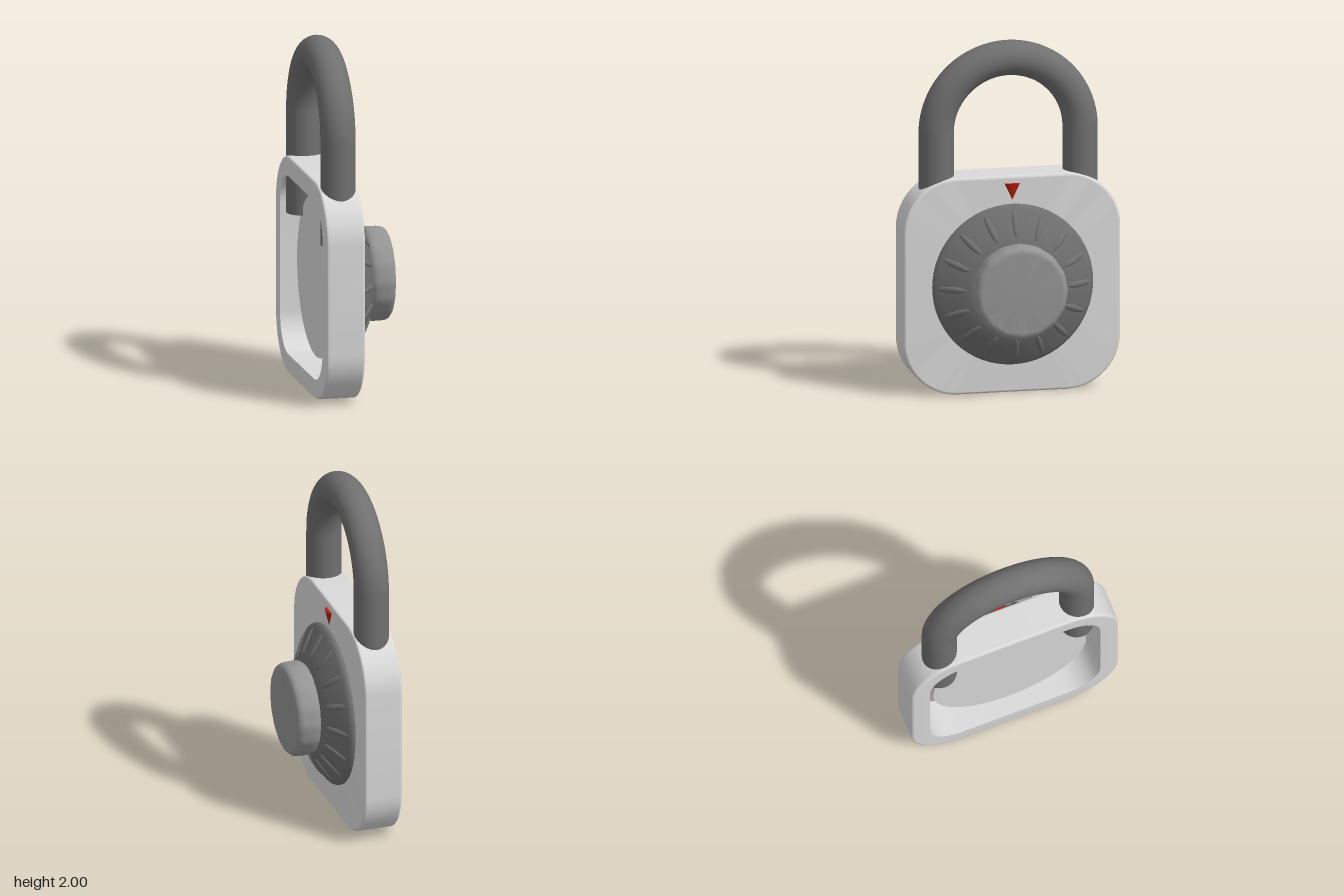
import * as THREE from 'three';
import { toCreasedNormals } from 'three/addons/utils/BufferGeometryUtils.js';

const material = (name, color) => {
  const m = new THREE.MeshStandardMaterial({ color });
  m.name = name;
  return m;
};

const CENTER_Y = 0.622;
const DIAL_Y = 0.624;
const FRONT = -0.023;
const BACK = -0.245;

// Rounded square outline in the zy plane at depth x
function roundedSquare(half, radius, x, steps = 12) {
  const points = [];
  for (let corner = 0; corner < 4; corner++) {
    const mid = Math.PI * (0.25 + corner / 2);
    const cz = Math.sign(Math.cos(mid)) * (half - radius);
    const cy = Math.sign(Math.sin(mid)) * (half - radius);
    for (let i = 0; i <= steps; i++) {
      const a = (corner + i / steps) * Math.PI / 2;
      points.push([x, CENTER_Y + cy + radius * Math.sin(a), cz + radius * Math.cos(a)]);
    }
  }
  return points;
}

// Skin a list of equal-length closed outlines
function loft(rings) {
  const n = rings[0].length, index = [];
  for (let r = 0; r < rings.length - 1; r++) {
    for (let i = 0; i < n; i++) {
      const j = (i + 1) % n;
      const a = r * n + i, b = r * n + j, c = a + n, d = b + n;
      index.push(a, c, b, b, c, d);
    }
  }
  const g = new THREE.BufferGeometry();
  g.setAttribute('position', new THREE.Float32BufferAttribute(rings.flat(2), 3));
  g.setIndex(index);
  return toCreasedNormals(g, 0.45);
}

// Hollow shell: inner wall, back rim, rounded outer wall, front plate
function bodyGeometry() {
  const bevel = 0.014, half = 0.622, radius = 0.31;
  // [inset, depth] of one rounded edge, with a short flat run at either end
  const edge = [[bevel + 0.004, 0]];
  for (let i = 0; i <= 4; i++) {
    const a = i * Math.PI / 8;
    edge.push([bevel * (1 - Math.sin(a)), bevel * (1 - Math.cos(a))]);
  }
  edge.push([0, bevel + 0.004]);
  const outer = (x) => ([inset, depth]) => roundedSquare(half - inset, radius - inset, x + depth);
  return loft([
    roundedSquare(0.512, 0.2, FRONT),
    roundedSquare(0.512, 0.2, BACK),
    ...edge.map(outer(BACK)),
    ...edge.map(([inset, depth]) => [inset, -depth]).reverse().map(outer(FRONT)),
    roundedSquare(0.0002, 0.0001, FRONT),
  ]);
}

// Revolve [radius, x] pairs about the x axis
function turned(profile, segments) {
  const g = new THREE.LatheGeometry(profile.map(([r, x]) => new THREE.Vector2(r, x)), segments);
  return g.rotateZ(-Math.PI / 2);
}

export function createModel() {
  const lightGrey = material('light grey', 0xdadada);
  const midGrey = material('mid grey', 0x949494);
  const darkGrey = material('dark grey', 0x707070);
  const red = material('red', 0xb81f0c);

  const model = new THREE.Group();
  model.name = 'padlock';
  const add = (name, geometry, mat, parent = model) => {
    const mesh = new THREE.Mesh(geometry, mat);
    mesh.name = name;
    parent.add(mesh);
    return mesh;
  };

  add('body', bodyGeometry(), lightGrey);

  // Shackle: half ring on two legs that end inside the body
  const shackle = new THREE.Group();
  shackle.name = 'shackle';
  shackle.position.x = -0.132;
  model.add(shackle);
  const bend = add('shackleBend', new THREE.TorusGeometry(0.413, 0.099, 32, 48, Math.PI), darkGrey, shackle);
  bend.rotation.y = Math.PI / 2;
  bend.position.y = 1.488;
  for (const side of [-1, 1]) {
    const leg = add('shackleLeg', new THREE.CylinderGeometry(0.099, 0.099, 0.588, 32), darkGrey, shackle);
    leg.position.set(0, 1.194, side * 0.413);
  }

  // Dial skirt
  const dial = new THREE.Group();
  dial.name = 'dial';
  dial.position.y = DIAL_Y;
  model.add(dial);
  add('dialSkirt', turned([
    [0.46, FRONT], [0.461, -0.01], [0.455, 0.002], [0.44, 0.014], [0.41, 0.032],
    [0.375, 0.053], [0.34, 0.073], [0.305, 0.091], [0.27, 0.105], [0.24, 0.112],
  ], 64), darkGrey, dial);

  // Drum behind the dial, inside the hollow body
  const drum = add('dialDrum', new THREE.CylinderGeometry(0.46, 0.46, 0.135, 64), lightGrey, dial);
  drum.rotation.z = Math.PI / 2;
  drum.position.x = FRONT - 0.0685;

  // Low raised grip ridges around the skirt
  const ridgeShape = new THREE.SphereGeometry(1, 16, 12).scale(0.012, 0.084, 0.019);
  for (let i = 0; i < 16; i++) {
    const arm = new THREE.Group();
    arm.name = 'ridgeArm';
    arm.rotation.x = i / 16 * Math.PI * 2;
    dial.add(arm);
    const ridge = add('gripRidge', ridgeShape, darkGrey, arm);
    ridge.position.set(0.056, 0.366, 0);
    ridge.rotation.z = 0.54;
  }

  // Knob with a slightly scalloped side
  const knobShape = turned([
    [0.24, 0.1], [0.251, 0.11], [0.262, 0.121], [0.267, 0.137], [0.268, 0.16], [0.267, 0.205],
    [0.264, 0.22], [0.257, 0.233], [0.246, 0.242], [0.232, 0.245], [0.228, 0.245], [0, 0.245],
  ], 96);
  const p = knobShape.attributes.position;
  for (let i = 0; i < p.count; i++) {
    const s = 1 - 0.006 * (1 - Math.cos(16 * Math.atan2(p.getZ(i), p.getY(i))));
    p.setXYZ(i, p.getX(i), p.getY(i) * s, p.getZ(i) * s);
  }
  add('knob', toCreasedNormals(knobShape, 0.6), midGrey, dial);

  // Pointer: half cone, tip down, against the front plate
  const pointer = add('pointer', new THREE.ConeGeometry(1, 0.094, 12, 1, false, 0, Math.PI), red);
  pointer.rotation.x = Math.PI;
  pointer.scale.set(0.022, 1, 0.044);
  pointer.position.set(FRONT, 1.155, 0);

  return model;
}
